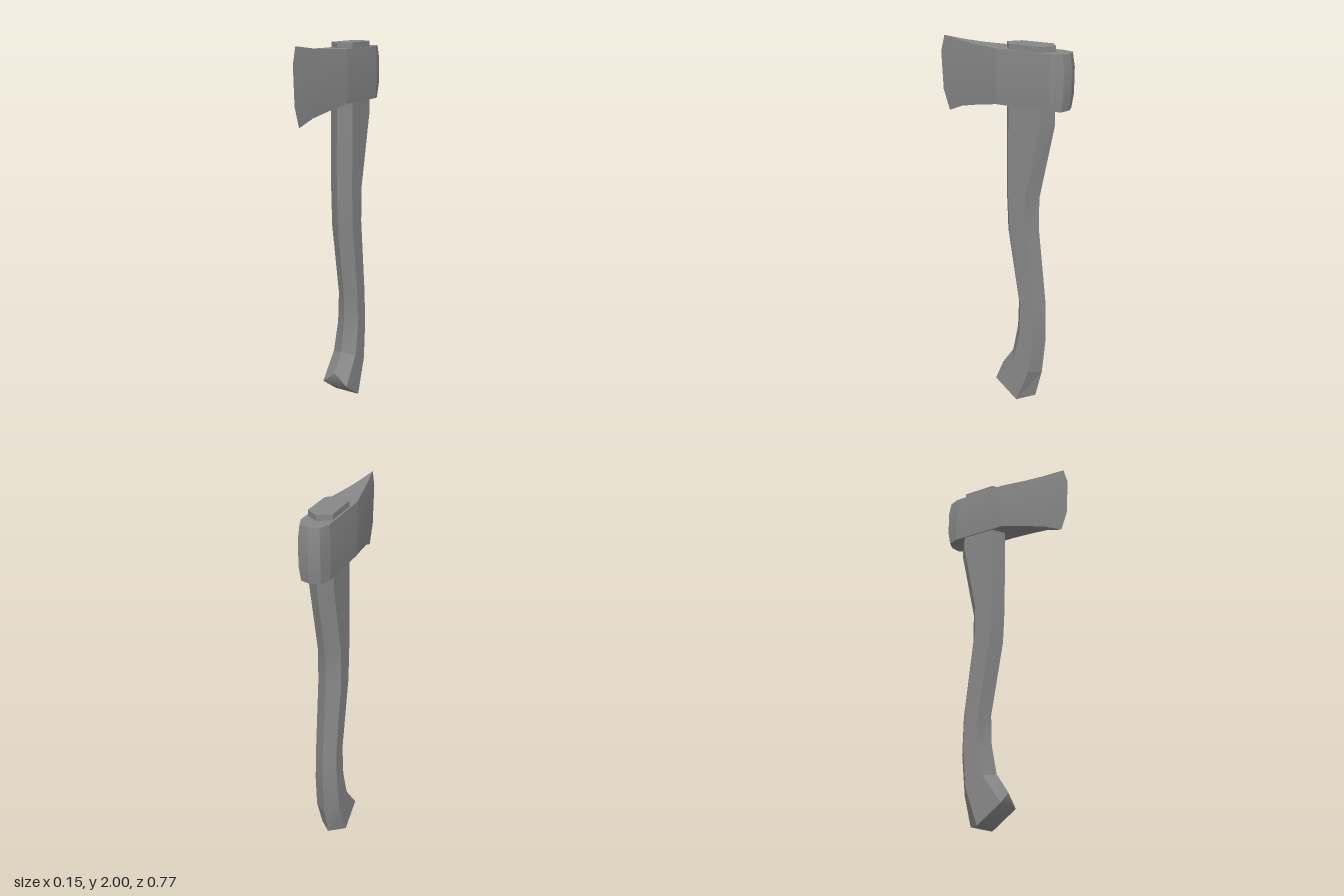
import * as THREE from 'three';
import { mergeGeometries, toCreasedNormals } from 'three/addons/utils/BufferGeometryUtils.js';

const material = new THREE.MeshStandardMaterial({ color: 0x878787, side: THREE.DoubleSide });

// Turns loose triangles into a geometry, smoothing edges bent less than crease (radians)
function surface(positions, crease) {
  const geometry = new THREE.BufferGeometry();
  geometry.setAttribute('position', new THREE.Float32BufferAttribute(positions, 3));
  return toCreasedNormals(geometry, crease);
}

// Lofts mirrored rings, given bottom to top. Each ring is its +x half as [x, y, z],
// running from the front ridge (x = 0) to the back ridge (x = 0).
function loftMirrored(name, halves) {
  const rings = halves.map((half) => [
    ...half,
    ...half.slice(1, -1).reverse().map(([x, y, z]) => [-x, y, z]),
  ]);
  const n = rings[0].length;
  const m = halves[0].length;

  // side walls
  const walls = [];
  for (let r = 0; r < rings.length - 1; r++) {
    const [low, high] = [rings[r], rings[r + 1]];
    for (let i = 0; i < n; i++) {
      const j = (i + 1) % n;
      walls.push(...low[i], ...low[j], ...high[j]);
      walls.push(...low[i], ...high[j], ...high[i]);
    }
  }

  // end caps, as strips running from front to back
  const caps = [];
  const bottom = rings[0];
  const top = rings[rings.length - 1];
  for (let i = 0; i < m - 1; i++) {
    const p = (n - i) % n;
    const q = n - i - 1;
    if (q !== i + 1) {
      caps.push(...top[i], ...top[i + 1], ...top[q]);
      caps.push(...bottom[i], ...bottom[q], ...bottom[i + 1]);
    }
    if (p !== i) {
      caps.push(...top[i], ...top[q], ...top[p]);
      caps.push(...bottom[i], ...bottom[p], ...bottom[q]);
    }
  }

  const mesh = new THREE.Mesh(mergeGeometries([surface(walls, 0.17), surface(caps, 1)]), material);
  mesh.name = name;
  return mesh;
}

// Curved six-sided handle: half width, then [y, z] of
// front ridge, front corner, back corner and back ridge
function createHandle() {
  const sections = [
    [0.077, [0.166, 0.003], [0.1, 0.003], [0, -0.132], [0.016, -0.213]],
    [0.072, [0.27, -0.065], [0.25, -0.107], [0.2, -0.205], [0.18, -0.252]],
    [0.066, [0.43, -0.095], [0.42, -0.143], [0.41, -0.227], [0.4, -0.273]],
    [0.061, [0.59, -0.1], [0.6, -0.143], [0.61, -0.224], [0.61, -0.268]],
    [0.066, [1.0, -0.03], [1.01, -0.078], [1.03, -0.17], [1.04, -0.218]],
    [0.066, [1.22, -0.02], [1.22, -0.068], [1.22, -0.17], [1.21, -0.218]],
    [0.066, [1.62, -0.02], [1.62, -0.068], [1.62, -0.25], [1.61, -0.3]],
    [0.063, [2.0, -0.02], [2.0, -0.07], [2.0, -0.25], [2.0, -0.295]],
  ];
  return loftMirrored('handle', sections.map(([w, ...points]) =>
    points.map(([y, z], i) => [i === 0 || i === 3 ? 0 : w, y, z])));
}

// Wedge head with flared cutting edge and softly bevelled poll
function createHead() {
  const rows = [
    // half width, poll inset, body y, two flare y values, edge [y, z]
    { w: 0.072, inset: 0.01, y: 1.694, flare: [1.645, 1.668], edge: [1.607, 0.338] },
    { w: 0.077, inset: 0, y: 1.77, flare: [1.733, 1.75], edge: [1.715, 0.375] },
    { w: 0.077, inset: 0, y: 1.9, flare: [1.906, 1.903], edge: [1.915, 0.385] },
    { w: 0.072, inset: 0.01, y: 1.972, flare: [1.985, 1.977], edge: [2.0, 0.362] },
  ];
  return loftMirrored('axeHead', rows.map(({ w, inset, y, flare, edge }) => {
    const taper = (z) => w * (1 - z / edge[1]);
    return [
      [0, edge[0], edge[1]],
      [taper(0.243), flare[0], 0.243],
      [taper(0.14), flare[1], 0.14],
      [w, y, 0],
      [w, y, -0.305],
      [0.056 - inset * 0.6, y, -0.371 + inset],
      [0, y, -0.385 + inset],
    ];
  }));
}

export function createModel() {
  const model = new THREE.Group();
  model.name = 'axe';
  model.add(createHandle(), createHead());
  return model;
}
